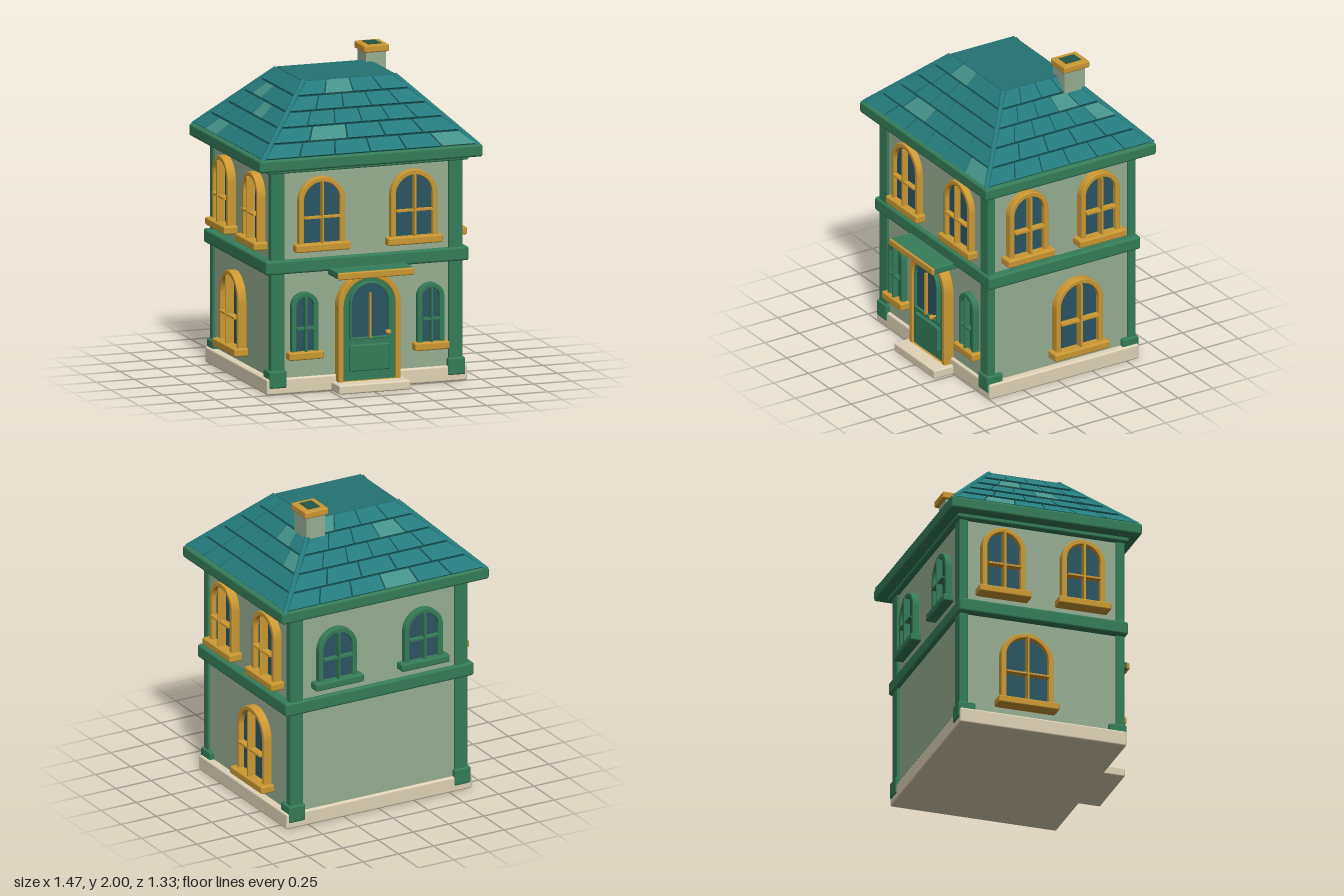
import * as THREE from 'three';
import { RoundedBoxGeometry } from 'three/addons/geometries/RoundedBoxGeometry.js';

const mat = (color) => new THREE.MeshStandardMaterial({ color });
const M = {
  wall: mat(0x97ae92), green: mat(0x357d59), gold: mat(0xcc9933), glass: mat(0x2a5563),
  stone: mat(0xe0d4b8), tile: mat(0x257a7b), tileLight: mat(0x459288),
  gap: mat(0x124a4a), cap: mat(0x257272), dark: mat(0x235546),
};
const ZC = -0.0425; // middle of the house in z

function add(parent, name, geometry, material) {
  const mesh = new THREE.Mesh(geometry, material);
  mesh.name = name;
  parent.add(mesh);
  return mesh;
}

// Box given by its extents; r > 0 rounds the edges.
function box(parent, name, [x0, x1], [y0, y1], [z0, z1], material, r = 0) {
  const s = [x1 - x0, y1 - y0, z1 - z0];
  const g = r ? new RoundedBoxGeometry(...s, 2, r) : new THREE.BoxGeometry(...s);
  const mesh = add(parent, name, g, material);
  mesh.position.set((x0 + x1) / 2, (y0 + y1) / 2, (z0 + z1) / 2);
  return mesh;
}

// Round-topped outline standing on y0.
function arch(w, y0, y1, Type = THREE.Shape) {
  const r = w / 2, s = new Type();
  s.moveTo(-r, y0);
  s.lineTo(r, y0);
  s.lineTo(r, y1 - r);
  s.absarc(0, y1 - r, r, 0, Math.PI, false);
  s.closePath();
  return s;
}

function extrude(shape, depth, bevel = 0.006) {
  return new THREE.ExtrudeGeometry(shape, {
    depth: depth - bevel, bevelEnabled: bevel > 0, bevelThickness: bevel,
    bevelSize: bevel, bevelOffset: -bevel, bevelSegments: 2, curveSegments: 16,
  });
}

// Arched window facing +z with its wall plane at z = 0 and sill top at y = 0.
function makeWindow(name, { w, h, t, sill, bar, frame = M.gold, ledge = frame }) {
  const g = new THREE.Group();
  g.name = name;
  const outer = arch(w, -0.02, h);
  outer.holes.push(arch(w - 2 * t, 0.005, h - t, THREE.Path));
  add(g, 'windowFrame', extrude(outer, 0.04), frame);
  add(g, 'windowGlass', extrude(arch(w - 1.6 * t, 0, h - 0.8 * t), 0.015, 0), M.glass);
  box(g, 'verticalBar', [-0.006, 0.006], [0, h - t + 0.005], [0.01, 0.055], frame);
  box(g, 'crossBar', [-w / 2 + t, w / 2 - t], [bar - 0.006, bar + 0.006], [0.01, 0.05], frame);
  box(g, 'windowSill', [-sill / 2, sill / 2], [-0.045, 0.005], [-0.01, 0.065], ledge, 0.01);
  return g;
}

// Tapered roof slope: rows of shingles laid between two bottom and two top corners.
function roofSlope(parent, name, b0, b1, t0, t1, axis, lights) {
  const slope = new THREE.Group();
  slope.name = name;
  parent.add(slope);
  const out = b1.clone().sub(b0).cross(t0.clone().sub(b0)).normalize();
  const at = (u, v, h) => b0.clone().lerp(b1, u)
    .lerp(t0.clone().lerp(t1, u), v).addScaledVector(out, h);
  [6, 5, 6, 5, 4].forEach((n, row, all) => {
    for (let i = 0; i < n; i++) {
      const g = new THREE.BoxGeometry(1, 1, 1);
      const p = g.attributes.position;
      const half = (0.5 - 0.025) / n;
      for (let k = 0; k < p.count; k++) {
        const top = p.getY(k) > 0;
        const u = (i + 0.5) / n + 2 * p.getX(k) * half;
        const v = (row + (top ? 1 : 0.09)) / all.length;
        const q = at(u, v, p.getZ(k) < 0 ? -0.005 : top ? 0.006 : 0.014);
        p.setXYZ(k, q.x, q.y, q.z);
      }
      g.computeVertexNormals();
      const v = (row + 0.5) / all.length;
      const a = at(i / n, v, 0)[axis], b = at((i + 1) / n, v, 0)[axis];
      const light = lights.some(([r, c]) => r === row && (c - a) * (c - b) < 0);
      add(slope, 'shingle', g, light ? M.tileLight : M.tile);
    }
  });
}

function makeRoof() {
  const roof = new THREE.Group();
  roof.name = 'roof';
  box(roof, 'eaveMoulding', [-0.66, 0.66], [1.39, 1.43], [-0.6, 0.515], M.green, 0.01);
  box(roof, 'eave', [-0.735, 0.735], [1.415, 1.493], [-0.665, 0.575], M.green, 0.015);
  const y0 = 1.485, y1 = 1.885, zc = -0.048;
  const corner = (sx, sz, top) => new THREE.Vector3(
    sx * (top ? 0.3 : 0.71), top ? y1 : y0, zc + sz * (top ? 0.226 : 0.605));
  // Dark core under the shingles: a box pinched at the top
  const core = new THREE.BoxGeometry(2, 2, 2);
  const p = core.attributes.position;
  for (let k = 0; k < p.count; k++) {
    const c = corner(p.getX(k), p.getZ(k), p.getY(k) > 0);
    p.setXYZ(k, c.x, c.y, c.z);
  }
  core.computeVertexNormals();
  add(roof, 'roofCore', core, M.gap);
  box(roof, 'roofTop', [-0.305, 0.305], [y1 - 0.01, y1 + 0.008], [zc - 0.23, zc + 0.23], M.cap);
  // Slopes, going round the house
  const slopes = [
    ['frontSlope', [-1, 1], [1, 1], 'x', [[1, -0.2], [4, -0.09], [0, 0.54]]],
    ['leftSlope', [1, 1], [1, -1], 'z', [[3, -0.18], [2, -0.33]]],
    ['backSlope', [1, -1], [-1, -1], 'x', [[0, -0.2], [3, -0.2], [4, 0.2]]],
    ['rightSlope', [-1, -1], [-1, 1], 'z', [[3, -0.22], [2, 0.08], [0, -0.36]]],
  ];
  for (const [name, a, b, axis, lights] of slopes) {
    roofSlope(roof, name, corner(...a, false), corner(...b, false),
      corner(...a, true), corner(...b, true), axis, lights);
    // Hip ridge along the first corner
    const hip = new THREE.LineCurve3(corner(...a, false), corner(...a, true));
    add(roof, 'hipRidge', new THREE.TubeGeometry(hip, 1, 0.018, 10), M.tile);
  }
  // Chimney
  box(roof, 'chimneyShaft', [0.26, 0.39], [1.6, 1.96], [-0.36, -0.21], M.wall);
  box(roof, 'chimneyCap', [0.245, 0.41], [1.95, 1.996], [-0.383, -0.198], M.gold, 0.01);
  box(roof, 'chimneyFlue', [0.285, 0.37], [1.96, 2], [-0.345, -0.235], M.dark);
  return roof;
}

function makeDoor() {
  const door = new THREE.Group();
  door.name = 'door';
  const surround = arch(0.41, 0.04, 0.737);
  surround.holes.push(arch(0.34, 0.06, 0.7, THREE.Path));
  add(door, 'doorSurround', extrude(surround, 0.065), M.gold);
  add(door, 'doorLeaf', extrude(arch(0.35, 0.06, 0.71), 0.05, 0), M.green);
  const rim = arch(0.265, 0.32, 0.68);
  rim.holes.push(arch(0.24, 0.333, 0.667, THREE.Path));
  add(door, 'doorGlassRim', extrude(rim, 0.075, 0.004), M.green);
  add(door, 'doorGlass', extrude(arch(0.25, 0.327, 0.672), 0.06, 0), M.glass);
  box(door, 'doorGlassBar', [-0.006, 0.006], [0.325, 0.61], [0.05, 0.08], M.gold);
  box(door, 'doorPanel', [-0.132, 0.132], [0.12, 0.285], [0.03, 0.07], M.green, 0.008);
  add(door, 'doorKnob', new THREE.SphereGeometry(0.017, 16, 12), M.gold).position.set(0.11, 0.36, 0.1);
  const stem = add(door, 'knobStem', new THREE.CylinderGeometry(0.008, 0.008, 0.06, 10), M.gold);
  stem.rotation.x = Math.PI / 2;
  stem.position.set(0.11, 0.36, 0.07);
  door.position.z = 0.48;
  return door;
}

export function createModel() {
  const house = new THREE.Group();
  house.name = 'house';

  // Base, step, walls and storey band
  box(house, 'base', [-0.66, 0.66], [0, 0.1], [-0.585, 0.5], M.stone, 0.012);
  box(house, 'doorStep', [-0.235, 0.235], [0, 0.058], [0.4, 0.638], M.stone, 0.01);
  box(house, 'walls', [-0.615, 0.615], [0.05, 1.45], [-0.565, 0.48], M.wall);
  box(house, 'storeyBand', [-0.668, 0.668], [0.755, 0.843], [-0.592, 0.508], M.green, 0.015);

  // Corner posts with feet
  for (const sx of [-1, 1]) for (const sz of [-1, 1]) {
    const span = (c, s, inner, outer) => [c + s * inner, c + s * outer].sort((a, b) => a - b);
    box(house, 'cornerPost', span(0, sx, 0.54, 0.63), [0.08, 1.43], span(ZC, sz, 0.483, 0.538), M.green, 0.006);
    box(house, 'postFoot', span(0, sx, 0.53, 0.645), [0.04, 0.15], span(ZC, sz, 0.435, 0.55), M.green, 0.012);
  }

  // Front and back windows
  for (const s of [-1, 1]) {
    const place = (win, x, y, z, turn) => {
      win.position.set(x, y, z);
      win.rotation.y = turn;
      house.add(win);
      return win;
    };
    place(makeWindow('frontUpperWindow', { w: 0.305, h: 0.42, t: 0.033, sill: 0.36, bar: 0.167 }), s * 0.303, 0.935, 0.48, 0);
    place(makeWindow('frontLowerWindow', { w: 0.175, h: 0.375, t: 0.032, sill: 0.227, bar: 0.15, frame: M.green, ledge: M.gold }),
      s * 0.414, 0.26, 0.48, 0);
    place(makeWindow('backWindow', { w: 0.27, h: 0.34, t: 0.033, sill: 0.34, bar: 0.145, frame: M.green }),
      s * 0.305, 0.945, -0.565, Math.PI);
    // Side windows: two above, one below
    const side = [
      ['sideUpperWindow', 0.217, 0.935, { w: 0.28, h: 0.42, t: 0.033, sill: 0.34, bar: 0.167 }],
      ['sideUpperWindow', -0.302, 0.935, { w: 0.28, h: 0.42, t: 0.033, sill: 0.34, bar: 0.167 }],
      ['sideLowerWindow', -0.15, 0.2, { w: 0.34, h: 0.462, t: 0.033, sill: 0.395, bar: 0.185 }],
    ];
    for (const [name, z, y, spec] of side) {
      place(makeWindow(name, spec), s * 0.615, y, z, s * Math.PI / 2).scale.z = 1.35;
    }
  }

  // Door with canopy
  house.add(makeDoor());
  box(house, 'canopy', [-0.25, 0.25], [0.727, 0.773], [0.46, 0.65], M.green, 0.008);
  box(house, 'canopyTrim', [-0.252, 0.252], [0.725, 0.77], [0.642, 0.662], M.gold, 0.008);

  house.add(makeRoof());
  return house;
}
